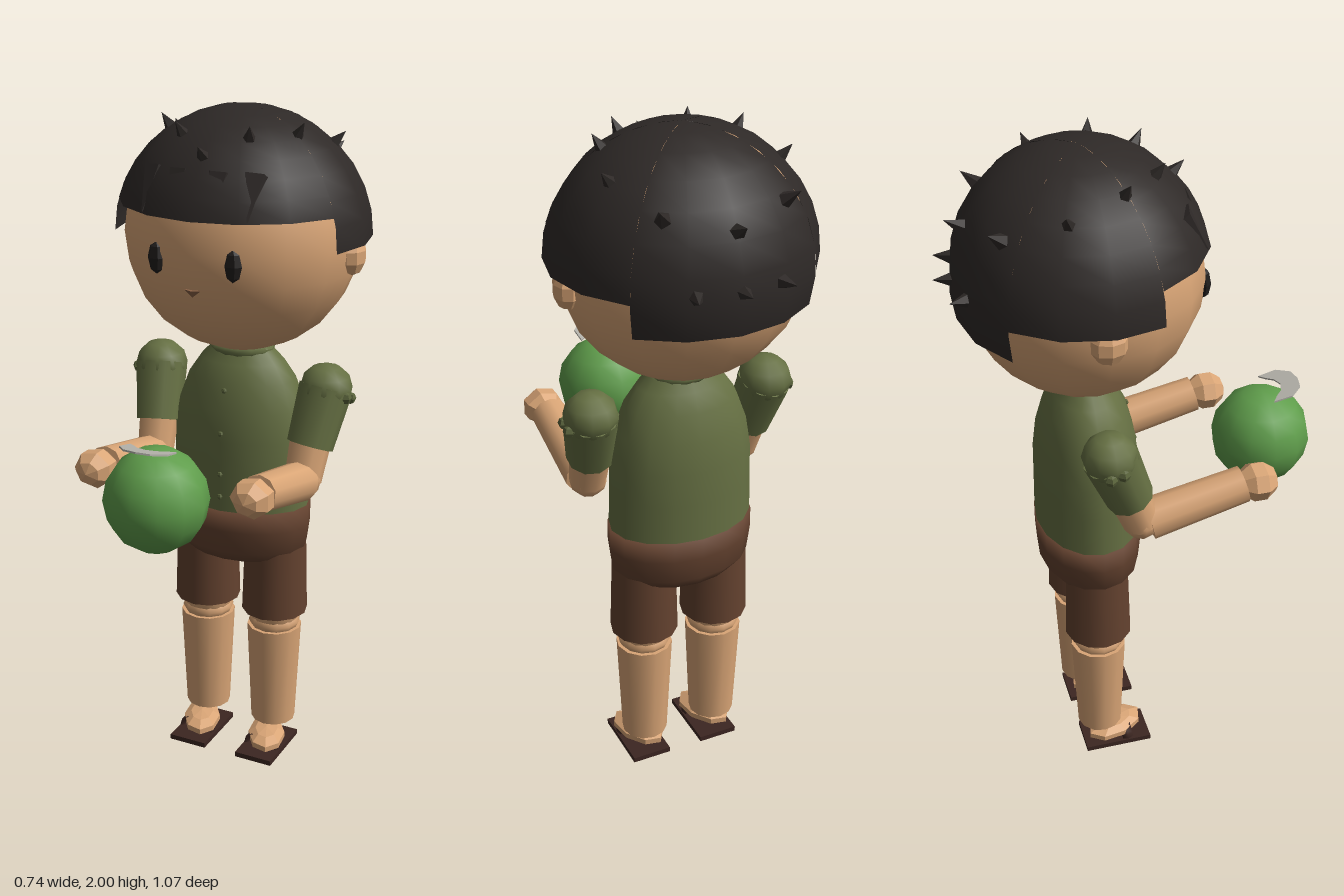
import * as THREE from 'three';

const paint = (color, extra = {}) => new THREE.MeshStandardMaterial({ color, ...extra });
const skin = paint(0xd9a576), flatSkin = paint(0xd9a576, { flatShading: true });
const hairMat = paint(0x2e2927, { side: THREE.DoubleSide }), spikeMat = paint(0x2e2927, { flatShading: true });
const shirtMat = paint(0x667043), bumpMat = paint(0x5a633b, { flatShading: true });
const shortsMat = paint(0x64422f), soleMat = paint(0x3c2621), darkMat = paint(0x201d1c, { flatShading: true });
const fruitMat = paint(0x5f9d4b), calyxMat = paint(0xb5b3ab, { side: THREE.DoubleSide });
const UP = new THREE.Vector3(0, 1, 0);
const V = (x, y, z) => new THREE.Vector3(x, y, z);
const rad = THREE.MathUtils.degToRad;

export function createModel() {
  const model = new THREE.Group();
  model.name = 'boyHoldingFruit';

  const add = (name, geometry, material, pos = V(0, 0, 0), scale = V(1, 1, 1)) => {
    const mesh = new THREE.Mesh(geometry, material);
    mesh.name = name;
    mesh.position.copy(pos);
    mesh.scale.copy(scale);
    model.add(mesh);
    return mesh;
  };
  const ball = (name, material, pos, rx, ry = rx, rz = rx, w = 8, h = 6) =>
    add(name, new THREE.SphereGeometry(1, w, h), material, pos, V(rx, ry, rz));
  // Tapered cylinder from a to b
  const limb = (name, material, a, b, ra, rb, sides = 12) => {
    const d = b.clone().sub(a);
    const mesh = add(name, new THREE.CylinderGeometry(rb, ra, d.length(), sides), material, a.clone().lerp(b, 0.5));
    mesh.quaternion.setFromUnitVectors(UP, d.normalize());
    return mesh;
  };
  const lathe = (name, material, points, pos, scale) => add(name,
    new THREE.LatheGeometry(points.map(p => new THREE.Vector2(...p)), 16), material, pos, scale);

  // Head and face
  const headC = V(0, 1.64, -0.14);
  ball('head', skin, headC, 0.342, 0.335, 0.33, 16, 12);
  const mouth = add('mouth', new THREE.ConeGeometry(0.025, 0.02, 4), paint(0x8d6448), V(0, 1.535, 0.175), V(1, 1, 0.5));
  mouth.rotation.x = Math.PI;

  // Hair cap: short fringe, longer sides, longest nape
  const hairR = V(0.37, 0.36, 0.352);
  const hairPart = (name, start, length, edge) => add(name, new THREE.SphereGeometry(1, Math.round(length / 22.5), 8,
    rad(start), rad(length), 0, rad(edge)), hairMat, headC, hairR);
  hairPart('frontHair', 22.5, 135, 74.7);
  hairPart('rightSideHair', 315, 67.5, 90);
  hairPart('leftSideHair', 157.5, 67.5, 90);
  hairPart('backHair', 225, 90, 105.3);

  // Small tufts standing out along the surface of the hair
  const tuft = (x, y, z, size = 1) => {
    const n = V(x, y - headC.y, z - headC.z).divide(hairR).divide(hairR).normalize();
    const p = V(x, y, z).addScaledVector(n, 0.016 * size);
    const mesh = add('hairTuft', new THREE.ConeGeometry(0.02 * size, 0.05 * size, 5), spikeMat, p);
    mesh.quaternion.setFromUnitVectors(UP, n);
  };
  const onCap = (x, z) => headC.y + hairR.y *
    Math.sqrt(Math.max(0, 1 - (x / hairR.x) ** 2 - ((z - headC.z) / hairR.z) ** 2));
  for (const [x, z] of [[0, 0.11], [0.1, 0.035], [0.195, -0.07], [0.24, -0.225], [0.17, -0.38], [0, -0.45]]) {
    for (const s of x ? [-1, 1] : [1]) tuft(s * x, onCap(x, z), z, z < -0.3 ? 1.2 : 1);
  }
  for (const x of [-0.12, 0, 0.12]) tuft(x, 1.665, -0.14 - 0.345 * Math.sqrt(1 - (x / 0.37) ** 2), 1.2);

  // Fringe locks pointing down over the forehead
  for (const x of [-0.155, -0.065, 0.055, 0.15]) {
    const z = 0.148 - Math.abs(x) * 0.25;
    const lock = limb('fringeLock', spikeMat, V(x * 0.97, 1.845, z - 0.025), V(x * 1.03, 1.74, z + 0.05), 0.042, 0.002, 5);
    lock.scale.z = 0.8;
  }

  // Torso
  const bodyC = V(0, 0, -0.14);
  lathe('shirt', shirtMat, [[0.215, 0.82], [0.212, 0.95], [0.21, 1.05], [0.195, 1.14], [0.165, 1.22],
    [0.13, 1.27], [0.1, 1.3], [0.09, 1.32], [0, 1.32]], bodyC, V(1, 1, 0.71));
  lathe('shortsWaist', shortsMat, [[0, 0.645], [0.1, 0.648], [0.175, 0.665], [0.21, 0.7], [0.219, 0.77],
    [0.219, 0.835], [0, 0.836]], bodyC, V(1, 1, 0.7));
  limb('neck', skin, V(0, 1.25, -0.14), V(0, 1.36, -0.14), 0.075, 0.075);
  const collar = add('collar', new THREE.TorusGeometry(0.08, 0.018, 6, 14), shirtMat, V(0, 1.305, -0.14), V(1, 0.85, 0.8));
  collar.rotation.x = Math.PI / 2;
  [[1.2, -0.018], [1.075, 0.006], [0.95, 0.01], [0.88, 0.011]].forEach(([y, z]) => ball('shirtButton', bumpMat, V(0, y, z), 0.009, 0.009, 0.007, 6, 4));

  // Paired parts
  for (const s of [-1, 1]) {
    const P = (x, y, z) => V(s * x, y, z);
    ball('ear', flatSkin, P(0.332, 1.605, -0.15), 0.037, 0.055, 0.05, 8, 5);
    ball('eye', darkMat, P(0.115, 1.62, 0.163), 0.027, 0.045, 0.02, 6, 4);

    // Sleeve with rounded shoulder and small bumps
    limb('sleeve', shirtMat, P(0.248, 1.055, -0.075), P(0.268, 1.215, -0.135), 0.068, 0.078, 10);
    ball('shoulder', shirtMat, P(0.268, 1.215, -0.135), 0.079, 0.073, 0.079, 10, 6);
    for (const [y, z] of [[1.2, -0.115], [1.19, -0.15]]) ball('sleeveBump', bumpMat, P(0.338, y, z), 0.018, 0.018, 0.018, 5, 4);

    // Bare arm reaching forward
    limb('upperArm', skin, P(0.243, 0.96, -0.04), P(0.248, 1.07, -0.08), 0.054, 0.06, 10);
    ball('elbow', skin, P(0.242, 0.965, -0.04), 0.057, 0.057, 0.057, 8, 6);
    limb('forearm', skin, P(0.242, 0.962, -0.02), P(0.24, 1.028, 0.26), 0.06, 0.053, 10);
    const hand = ball('hand', flatSkin, P(0.243, 1.032, 0.3), 0.063, 0.06, 0.057, 7, 5);
    hand.rotation.x = Math.PI / 2;

    // Leg with gathered knee
    limb('shortsLeg', shortsMat, P(0.115, 0.475, -0.14), P(0.115, 0.7, -0.14), 0.101, 0.094);
    lathe('knee', skin, [[0.078, 0.48], [0.074, 0.45], [0.06, 0.42], [0.05, 0.4]].reverse(), P(0.115, 0, -0.14));
    ball('kneeCap', skin, P(0.115, 0.435, -0.14), 0.08, 0.045, 0.08, 12, 6);
    limb('shin', skin, P(0.115, 0.09, -0.14), P(0.115, 0.42, -0.14), 0.069, 0.084);

    // Foot and sandal
    const foot = ball('foot', flatSkin, P(0.115, 0.042, -0.092), 0.06, 0.028, 0.1, 8, 5);
    foot.rotation.y = Math.PI / 8;
    add('sandalSole', new THREE.BoxGeometry(0.122, 0.016, 0.208), soleMat, P(0.115, 0.008, -0.092));
    const strap = add('sandalStrap', new THREE.TorusGeometry(0.052, 0.009, 5, 10, Math.PI), soleMat, P(0.115, 0.02, -0.06), V(1, 0.72, 2));
    strap.rotation.x = -0.15;
  }

  // Round fruit held between the hands, with a thin calyx
  ball('fruit', fruitMat, V(0, 1.018, 0.393), 0.146, 0.148, 0.146, 12, 8);
  const outline = [[-0.07, 0.055], [-0.05, 0.04], [-0.03, 0.02], [0, 0.01], [0.03, 0.02], [0.05, 0.04], [0.07, 0.055],
    [0.072, 0], [0.04, -0.036], [0, -0.043], [-0.04, -0.036], [-0.072, 0]];
  const calyx = add('fruitCalyx', new THREE.ExtrudeGeometry(new THREE.Shape(outline.map(p => new THREE.Vector2(...p))),
    { depth: 0.005, bevelEnabled: false }), calyxMat, V(0, 1.178, 0.46));
  calyx.rotation.x = -Math.PI / 2 - 0.22;

  return model;
}
